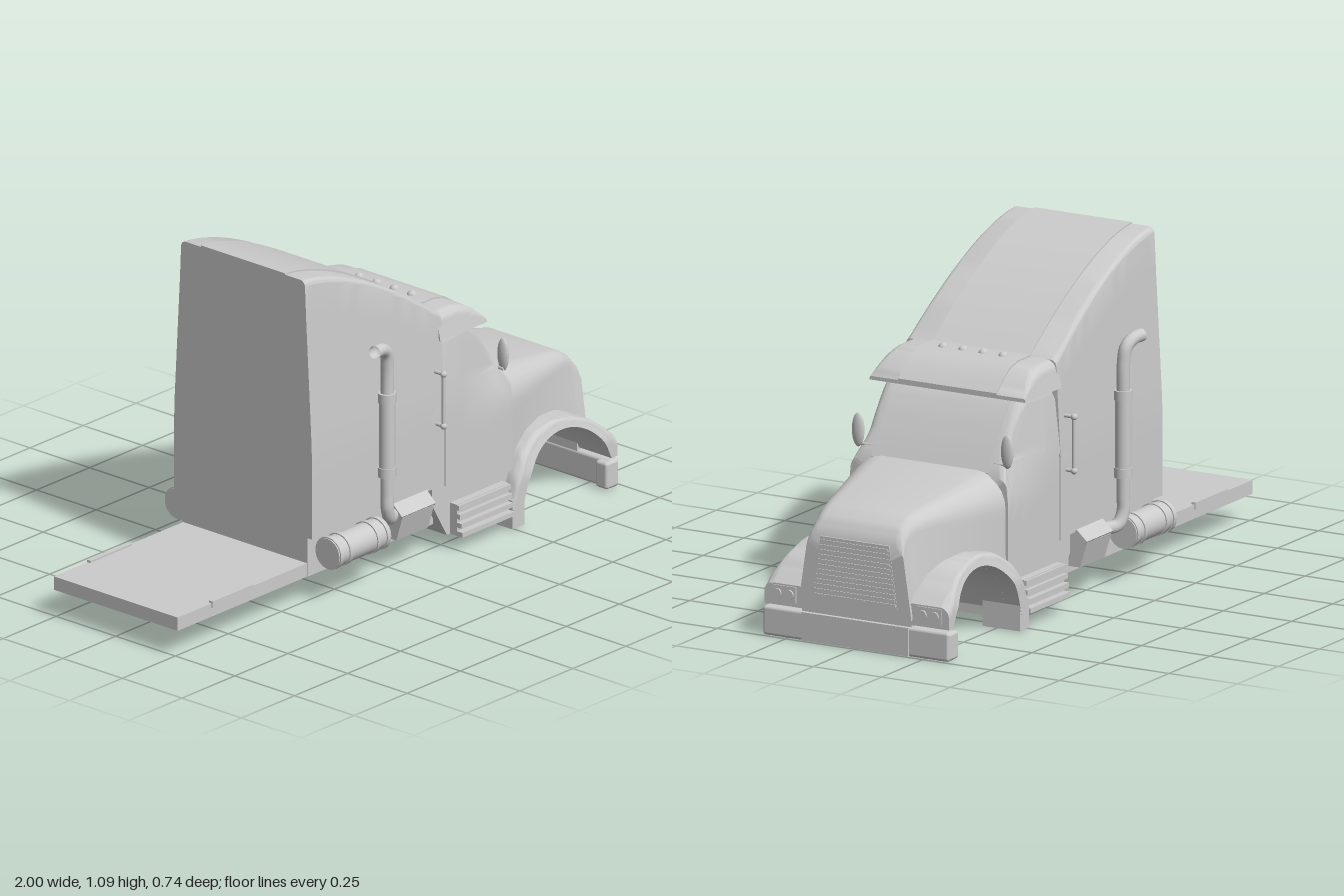
import * as THREE from 'three';
import { toCreasedNormals } from 'three/addons/utils/BufferGeometryUtils.js';
import { RoundedBoxGeometry } from 'three/addons/geometries/RoundedBoxGeometry.js';

const mat = new THREE.MeshStandardMaterial({ color: 0xcccccc, side: THREE.DoubleSide });
const clamp = (v) => Math.min(1, Math.max(0, v));

// Piecewise linear lookup in a list of [x, y] points
function along(pts, x) {
  for (let i = 1; i < pts.length; i++) {
    const [x0, y0] = pts[i - 1], [x1, y1] = pts[i];
    if (x <= x1) return y0 + (y1 - y0) * clamp((x - x0) / (x1 - x0));
  }
  return pts[pts.length - 1][1];
}

// Closed symmetric body along x: sections run up one wall, over a rounded top and down the other
function loft(xs, bottom, top, wall, radius) {
  const rings = xs.map((x) => {
    const b = bottom(x), t = top(x), r = Math.min(radius(x), (t - b) * 0.45), half = [];
    for (let i = 0; i <= 8; i++) {
      const y = b + ((t - r - b) * i) / 8;
      half.push([x, y, wall(x, y)]);
    }
    const w = wall(x, t - r);
    for (let i = 1; i <= 6; i++) {
      const a = (i / 6) * Math.PI / 2;
      half.push([x, t - r + r * Math.sin(a), w - r + r * Math.cos(a)]);
    }
    return half.concat([...half].reverse().map(([px, py, pz]) => [px, py, -pz]));
  });
  const pos = [], n = rings[0].length;
  const tri = (...p) => p.forEach((q) => pos.push(...q));
  for (let i = 0; i + 1 < rings.length; i++) for (let j = 0; j < n; j++) {
    const k = (j + 1) % n, a = rings[i][j], b = rings[i][k], c = rings[i + 1][k], d = rings[i + 1][j];
    tri(a, d, c);
    tri(a, c, b);
  }
  [0, rings.length - 1].forEach((e) => {
    const R = rings[e], mid = [R[0][0], (R[0][1] + R[14][1]) / 2, 0];
    for (let j = 0; j < n; j++) {
      const k = (j + 1) % n;
      if (e) tri(mid, R[k], R[j]); else tri(mid, R[j], R[k]);
    }
  });
  const g = new THREE.BufferGeometry();
  g.setAttribute('position', new THREE.Float32BufferAttribute(pos, 3));
  return toCreasedNormals(g, 0.6);
}

const range = (a, b, n) => Array.from({ length: n + 1 }, (_, i) => a + ((b - a) * i) / n);
const cosRange = (a, b, n) => range(0, Math.PI, n).map((t) => a + ((b - a) * (1 - Math.cos(t))) / 2);
const shapeOf = (pts) => new THREE.Shape(pts.map(([x, y]) => new THREE.Vector2(x, y)));

// Prism of an (x, y) outline between two z values
function prismZ(pts, z0, z1) {
  const g = new THREE.ExtrudeGeometry(shapeOf(pts), { depth: z1 - z0, bevelEnabled: false });
  return toCreasedNormals(g.translate(0, 0, z0), 0.5);
}
// Prism of a (z, y) outline between two x values
function prismX(pts, x0, x1) {
  const g = new THREE.ExtrudeGeometry(shapeOf(pts.map(([z, y]) => [-z, y])), { depth: x1 - x0, bevelEnabled: false });
  return g.rotateY(Math.PI / 2).translate(x0, 0, 0);
}

// Outlines of the body
const roofY = (x) => 1.09 - 0.29 * Math.pow(clamp((x + 0.4) / 0.62), 1.6);
const sleeperWall = (x, y) => 0.29 - 0.03 * clamp((y - 0.5) / 0.55);
const cabTop = [[0.165, 0.6], [0.24, 0.72], [0.37, 0.72], [0.41, 0.685], [0.45, 0.635], [0.5, 0.56], [0.545, 0.485]];
const cabWall = (x, y) => 0.29 - 0.025 * clamp((y - 0.5) / 0.22) - 0.035 * clamp((x - 0.3) / 0.2) * clamp((y - 0.44) / 0.1);
const hoodTop = [[0.52, 0.505], [0.7, 0.472], [0.86, 0.445], [0.92, 0.43], [0.96, 0.405], [0.985, 0.37], [0.995, 0.34]];
const hoodWall = (x, y) => {
  const t = clamp((x - 0.53) / 0.43);
  return 0.285 - 0.08 * t - 0.045 * t * clamp((y - 0.13) / 0.3);
};
const archY = (x) => 0.055 + 0.2 * Math.sqrt(Math.max(0, 1 - ((x - 0.755) / 0.207) ** 2));
const fenderTop = [[0.495, 0.08], [0.52, 0.17], [0.57, 0.235], [0.64, 0.275], [0.73, 0.29], [0.82, 0.277],
  [0.89, 0.25], [0.95, 0.205], [0.985, 0.175]];
const visorTop = [[0.21, 0.8], [0.3, 0.8], [0.35, 0.787], [0.39, 0.76], [0.43, 0.722]];

export function createModel() {
  const model = new THREE.Group();
  const add = (name, geo, x = 0, y = 0, z = 0) => {
    const m = new THREE.Mesh(geo, mat);
    m.name = name;
    m.position.set(x, y, z);
    model.add(m);
    return m;
  };
  const box = (name, x0, x1, y0, y1, z0, z1) =>
    add(name, new THREE.BoxGeometry(x1 - x0, y1 - y0, Math.abs(z1 - z0)), (x0 + x1) / 2, (y0 + y1) / 2, (z0 + z1) / 2);

  // Frame
  box('chassisDeck', -1, 0.17, 0.09, 0.135, -0.26, 0.26);
  box('sleeperBase', -0.39, 0.2, 0.09, 0.24, -0.262, 0.262);

  // Sleeper with a raised roof panel
  add('sleeper', loft(range(-0.4, 0.225, 16), () => 0.225, roofY, sleeperWall, () => 0.02));
  const roofXs = range(-0.4, 0.22, 20);
  add('roofPanel', prismZ([...roofXs.map((x) => [x, roofY(x) + 0.005]),
    ...roofXs.reverse().map((x) => [x, roofY(x) - 0.03])], -0.177, 0.177));

  // Cab
  add('cab', loft([0.165, 0.2, 0.235, 0.24, ...range(0.27, 0.545, 14)],
    (x) => along([[0.165, 0.17], [0.235, 0.05], [0.545, 0.038]], x),
    (x) => along(cabTop, x), cabWall, () => 0.03));
  const glassXs = range(0.395, 0.54, 10);
  add('windshield', prismZ([...glassXs.map((x) => [x, along(cabTop, x) + 0.004]),
    ...glassXs.reverse().map((x) => [x, along(cabTop, x) - 0.02])], -0.212, 0.212));

  // Roof visor and marker lights
  add('visor', loft([0.21, ...range(0.25, 0.43, 12)], () => 0.71, (x) => along(visorTop, x),
    (x, y) => 0.285 - 0.2 * (y - 0.71), () => 0.035));
  add('visorPanel', prismZ([...visorTop.map(([x, y]) => [x, y + 0.005]), [0.43, 0.712], [0.21, 0.712]], -0.18, 0.18));
  for (const z of [-0.11, -0.037, 0.037, 0.11]) add('markerLight', new THREE.SphereGeometry(0.016, 16, 10), 0.272, 0.802, z);

  // Hood, open over the wheel arch
  add('hood', loft([...cosRange(0.52, 0.95, 28), 0.962, 0.968, 0.975, 0.985, 0.992, 0.995],
    (x) => (x > 0.76 ? Math.max(0.12, archY(x)) : archY(x)), (x) => along(hoodTop, x), hoodWall,
    (x) => along([[0.53, 0.11], [0.9, 0.05], [0.995, 0.03]], x)));
  add('fenders', loft(cosRange(0.495, 0.985, 40), (x) => (x > 0.76 ? Math.max(0.105, archY(x)) : archY(x)),
    (x) => along(fenderTop, x), (x, y) => 0.337 - 0.04 * clamp((y - 0.17) / 0.12), () => 0.035));

  // Grille
  add('grillePanel', prismX([[-0.155, 0.15], [0.155, 0.15], [0.125, 0.352], [-0.125, 0.352]], 0.99, 0.9965));
  for (let i = 0; i < 12; i++) {
    const y = 0.162 + i * 0.016, w = 0.15 - 0.03 * (i / 12);
    box('grilleSlat', 0.99, 1, y - 0.004, y + 0.004, -w, w);
  }
  box('noseSill', 0.95, 0.985, 0.09, 0.125, -0.2, 0.2);

  // Bumper
  add('bumper', new RoundedBoxGeometry(0.045, 0.095, 0.68, 4, 0.01), 0.97, 0.05, 0);
  box('bumperCentre', 0.96, 0.996, 0.004, 0.096, -0.195, 0.195);

  for (const s of [1, -1]) {
    add('bumperEnd', new RoundedBoxGeometry(0.06, 0.09, 0.05, 3, 0.01), 0.96, 0.05, s * 0.317);
    box('fenderFoot', 0.493, 0.55, 0.004, 0.1, s * 0.2, s * 0.336);
    box('deckRail', -0.84, -0.645, 0.12, 0.142, s * 0.248, s * 0.264);

    // Headlights
    box('headlightHousing', 0.96, 0.989, 0.118, 0.17, s * 0.22, s * 0.31);
    for (const z of [0.243, 0.287])
      add('headlight', new THREE.CylinderGeometry(0.016, 0.016, 0.012, 20).rotateZ(Math.PI / 2), 0.989, 0.144, s * z);

    // Side window laid on the cab wall
    const pane = new THREE.PlaneGeometry(1, 1, 12, 6), p = pane.attributes.position;
    for (let i = 0; i < p.count; i++) {
      const x = 0.4 + 0.18 * p.getX(i);
      const top = along([[0.31, 0.672], [0.36, 0.668], [0.4, 0.645], [0.45, 0.585], [0.49, 0.545]], x);
      const y = 0.53 + (top - 0.53) * (p.getY(i) + 0.5);
      p.setXYZ(i, x, y, s * (cabWall(x, y) + 0.004));
    }
    pane.computeVertexNormals();
    add('sideWindow', pane);
    box('doorSeam', 0.224, 0.23, 0.22, 0.5, s * 0.28, s * 0.293);

    // Mirror on a short arm
    add('mirror', new THREE.SphereGeometry(1, 20, 14).scale(0.012, 0.055, 0.022), 0.52, 0.57, s * 0.272);
    add('mirrorArm', new THREE.CylinderGeometry(0.006, 0.006, 0.06, 10).rotateX(Math.PI / 2), 0.515, 0.525, s * 0.25);

    // Entry steps
    box('stepPanel', 0.25, 0.495, 0.05, 0.155, s * 0.27, s * 0.318);
    for (let i = 0; i < 4; i++) box('stepTread', 0.25, 0.495, 0.05 + i * 0.029, 0.066 + i * 0.029, s * 0.28, s * (0.342 - i * 0.005));

    // Grab handle
    add('grabHandle', new THREE.CylinderGeometry(0.006, 0.006, 0.18, 12), 0.188, 0.53, s * 0.318);
    for (const y of [0.44, 0.615]) {
      add('handleKnob', new THREE.SphereGeometry(0.011, 14, 10), 0.188, y, s * 0.318);
      add('handleMount', new THREE.CylinderGeometry(0.006, 0.006, 0.04, 10).rotateX(Math.PI / 2), 0.188, y, s * 0.3);
    }

    // Exhaust stack
    const path = [[-0.172, 0.805, 0.35], [-0.135, 0.802, 0.343], [-0.102, 0.78, 0.335], [-0.092, 0.73, 0.331], [-0.092, 0.6, 0.33],
      [-0.092, 0.3, 0.33], [-0.09, 0.245, 0.33], [-0.07, 0.208, 0.322], [-0.02, 0.2, 0.29]]
      .map(([x, y, z]) => new THREE.Vector3(x, y, s * z));
    add('exhaustPipe', new THREE.TubeGeometry(new THREE.CatmullRomCurve3(path), 60, 0.021, 16));
    add('muffler', new THREE.CylinderGeometry(0.026, 0.026, 0.26, 24), -0.092, 0.495, s * 0.33);
    for (const y of [0.375, 0.625]) add('mufflerBand', new THREE.CylinderGeometry(0.029, 0.029, 0.032, 24), -0.092, y, s * 0.33);

    // Fuel tank with end rims and straps
    add('fuelTank', new THREE.CylinderGeometry(0.05, 0.05, 0.245, 32).rotateZ(Math.PI / 2), -0.235, 0.172, s * 0.316);
    for (const x of [-0.345, -0.3, -0.17, -0.125])
      add('tankBand', new THREE.CylinderGeometry(0.054, 0.054, 0.016, 32).rotateZ(Math.PI / 2), x, 0.172, s * 0.316);

    // Battery box with a sloped tread
    add('batteryBox', prismX([[0.24, 0.112], [0.305, 0.112], [0.33, 0.195], [0.295, 0.225], [0.24, 0.225]].map(([z, y]) => [s * z, y]), -0.02, 0.13));
    add('batteryTread', prismX([[0.333, 0.2], [0.295, 0.235], [0.285, 0.225], [0.325, 0.19]].map(([z, y]) => [s * z, y]), -0.025, 0.135));
  }
  return model;
}
